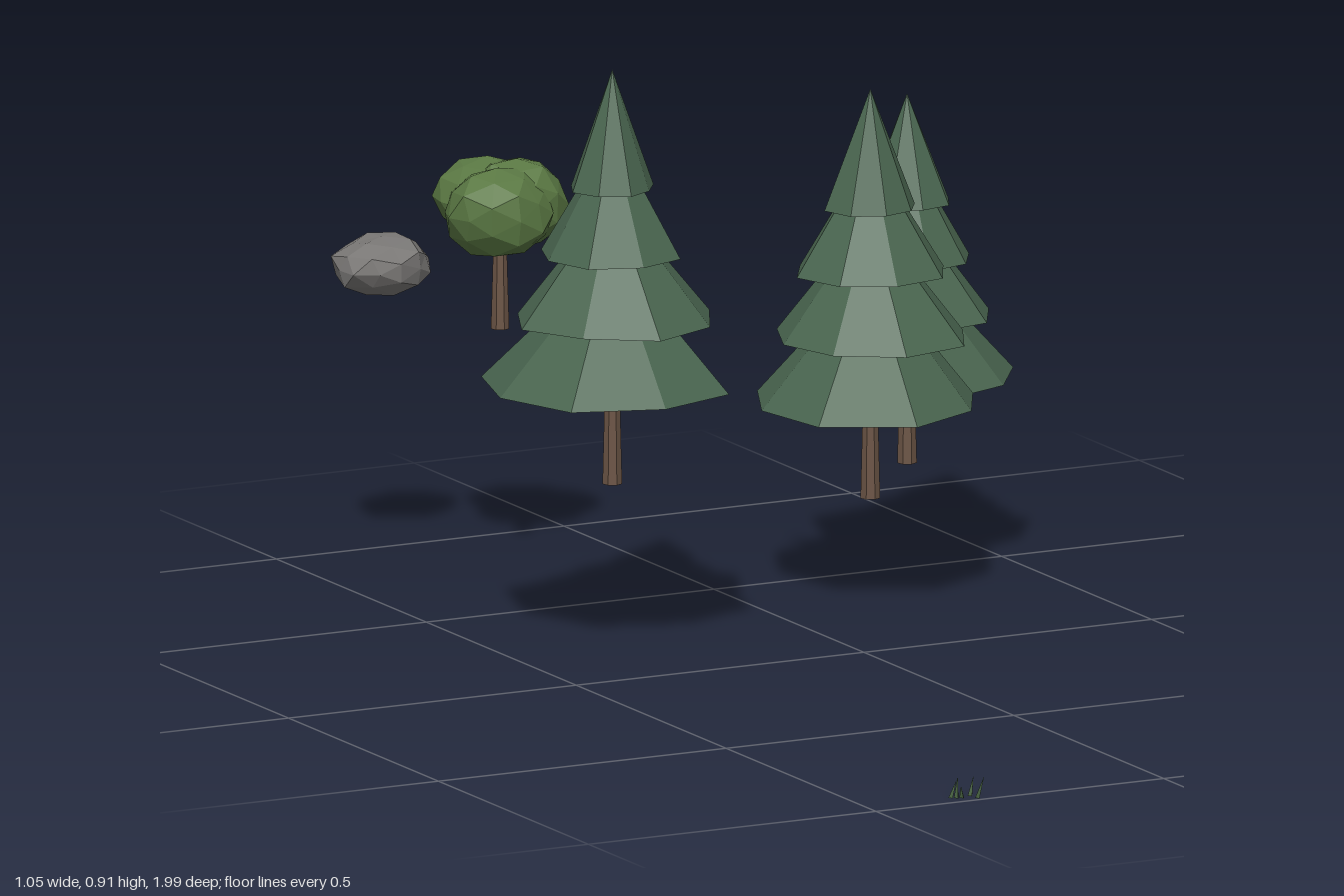
import * as THREE from 'three';
import { mergeVertices } from 'three/addons/utils/BufferGeometryUtils.js';

const mat = (name, color) =>
  Object.assign(new THREE.MeshStandardMaterial({ color, flatShading: true }), { name });

export function createModel() {
  const pineGreen = mat('pineGreen', 0x4a6650);
  const leafGreen = mat('leafGreen', 0x5a7843);
  const grassGreen = mat('grassGreen', 0x46603f);
  const bark = mat('bark', 0x6b5445);
  const stone = mat('stone', 0x7a7876);

  const model = new THREE.Group();
  model.name = 'forestClearing';

  const add = (parent, name, geometry, material, x = 0, y = 0, z = 0) => {
    const mesh = new THREE.Mesh(geometry, material);
    mesh.name = name;
    mesh.position.set(x, y, z);
    parent.add(mesh);
    return mesh;
  };
  const group = (name, x, y, z) => {
    const g = new THREE.Group();
    g.name = name;
    g.position.set(x, y, z);
    model.add(g);
    return g;
  };

  // Slightly tapered trunk standing on its group's origin
  const trunk = (parent, height, r) =>
    add(parent, 'trunk', new THREE.CylinderGeometry(r * 0.68, r, height, 7), bark, 0, height / 2, 0);

  // Eight-sided cone whose rim corners each have their own radius
  function tierGeometry(radii, height) {
    const geo = new THREE.ConeGeometry(1, height, 8, 1);
    const p = geo.attributes.position;
    for (let i = 0; i < p.count; i++) {
      const x = p.getX(i), z = p.getZ(i);
      if (Math.hypot(x, z) < 0.5) continue;
      const k = (Math.round(Math.atan2(x, z) / (Math.PI / 4)) + 8) % 8;
      p.setX(i, x * radii[k]);
      p.setZ(i, z * radii[k]);
    }
    geo.translate(0, height / 2, 0);
    geo.computeVertexNormals();
    return geo;
  }

  // Pines: rim lists the lowest tier's corner radii, starting at +z and turning towards +x
  const pines = [
    { at: [-0.33, 0.26, -0.206], tiers: [0.414, 0.518, 0.622, 0.726], h: 0.188, turn: -1,
      radii: [0.158, 0.109, 0.067], rim: [0.185, 0.19, 0.16, 0.213, 0.196, 0.213, 0.193, 0.2] },
    { at: [0.18, 0.161, -0.324], tiers: [0.313, 0.414, 0.518, 0.62], h: 0.187, turn: -6,
      radii: [0.152, 0.117, 0.073], rim: [0.198, 0.17, 0.17, 0.19, 0.2, 0.19, 0.18, 0.2] },
    { at: [0.347, 0.16, -0.522], tiers: [0.296, 0.392, 0.482, 0.572], h: 0.171, turn: -6,
      radii: [0.128, 0.102, 0.07], rim: [0.175, 0.162, 0.176, 0.168, 0.187, 0.19, 0.162, 0.165] },
  ];
  for (const { at, tiers, h, turn, radii, rim } of pines) {
    const pine = group('pineTree', ...at);
    trunk(pine, tiers[0] - at[1] + 0.05, 0.0155);
    const mean = rim.reduce((a, b) => a + b) / 8;
    tiers.forEach((y, t) => {
      // upper tiers reuse the uneven rim, shifted round and softened
      const corners = t === 0 ? rim : rim.map((_, k) =>
        radii[t - 1] * (1 + 0.6 * (rim[(k + 3 * t) % 8] / mean - 1)));
      const tier = add(pine, 'branchTier', tierGeometry(corners, h * [1.12, 1.05, 1.03, 1][t]),
        pineGreen, 0, y - at[1], 0);
      tier.rotation.y = THREE.MathUtils.degToRad(turn);
    });
  }

  // Faceted lump: a subdivided icosahedron with a smooth ripple on its corners
  function lump(rx, ry, rz, seed, rough) {
    let geo = new THREE.IcosahedronGeometry(1, 1);
    geo.deleteAttribute('normal');
    geo.deleteAttribute('uv');
    geo = mergeVertices(geo);
    const p = geo.attributes.position;
    const v = new THREE.Vector3();
    for (let i = 0; i < p.count; i++) {
      v.fromBufferAttribute(p, i);
      v.multiplyScalar(1 + rough * Math.sin(i * 2.4 + seed * 1.7));
      p.setXYZ(i, v.x * rx, v.y * ry, v.z * rz);
    }
    geo.computeVertexNormals();
    return geo;
  }

  // Small round-crowned tree
  const roundTree = group('roundTree', -0.253, 0.393, -0.728);
  trunk(roundTree, 0.16, 0.0145);
  const crown = [
    [-0.01, 0.186, 0.01, 0.085, 0.072, 0.08],
    [0.038, 0.19, -0.018, 0.08, 0.074, 0.075],
    [0.012, 0.194, -0.064, 0.083, 0.063, 0.083],
  ];
  crown.forEach(([x, y, z, rx, ry, rz], i) =>
    add(roundTree, 'leafClump', lump(rx, ry, rz, i + 1, 0.05), leafGreen, x, y, z));

  // Rock
  const rock = add(model, 'rock', lump(0.087, 0.047, 0.073, 5, 0.07), stone, -0.36, 0.467, -0.92);
  rock.rotation.y = 0.6;

  // Grass tufts: leaning three-sided blades [x, z, height, leanX, leanZ]
  function tuft(x, y, z, blades) {
    const g = group('grassTuft', x, y, z);
    for (const [bx, bz, h, lx, lz] of blades) {
      const geo = new THREE.ConeGeometry(0.0045, h, 3);
      geo.translate(0, h / 2, 0);
      const p = geo.attributes.position;
      for (let i = 0; i < p.count; i++) {
        const t = p.getY(i) / h;
        p.setX(i, p.getX(i) + lx * t);
        p.setZ(i, p.getZ(i) + lz * t);
      }
      geo.computeVertexNormals();
      add(g, 'grassBlade', geo, grassGreen, bx, 0, bz);
    }
  }
  tuft(-0.335, 0, 0.98, [
    [-0.018, -0.011, 0.028, 0.008, 0.002],
    [-0.011, -0.006, 0.034, 0.003, -0.003],
    [-0.003, -0.003, 0.02, -0.004, 0.003],
    [0.015, -0.01, 0.03, 0.007, -0.004],
    [0.018, 0.009, 0.036, 0.006, 0.009],
  ]);
  tuft(0.15, 0.257, -0.565, [
    [-0.012, 0.004, 0.023, -0.006, 0.003],
    [-0.006, 0.002, 0.018, 0.002, 0.004],
    [0.001, -0.003, 0.024, -0.003, -0.003],
    [0.007, -0.006, 0.025, 0.004, -0.002],
    [0.012, -0.002, 0.019, 0.006, 0.002],
  ]);

  return model;
}
